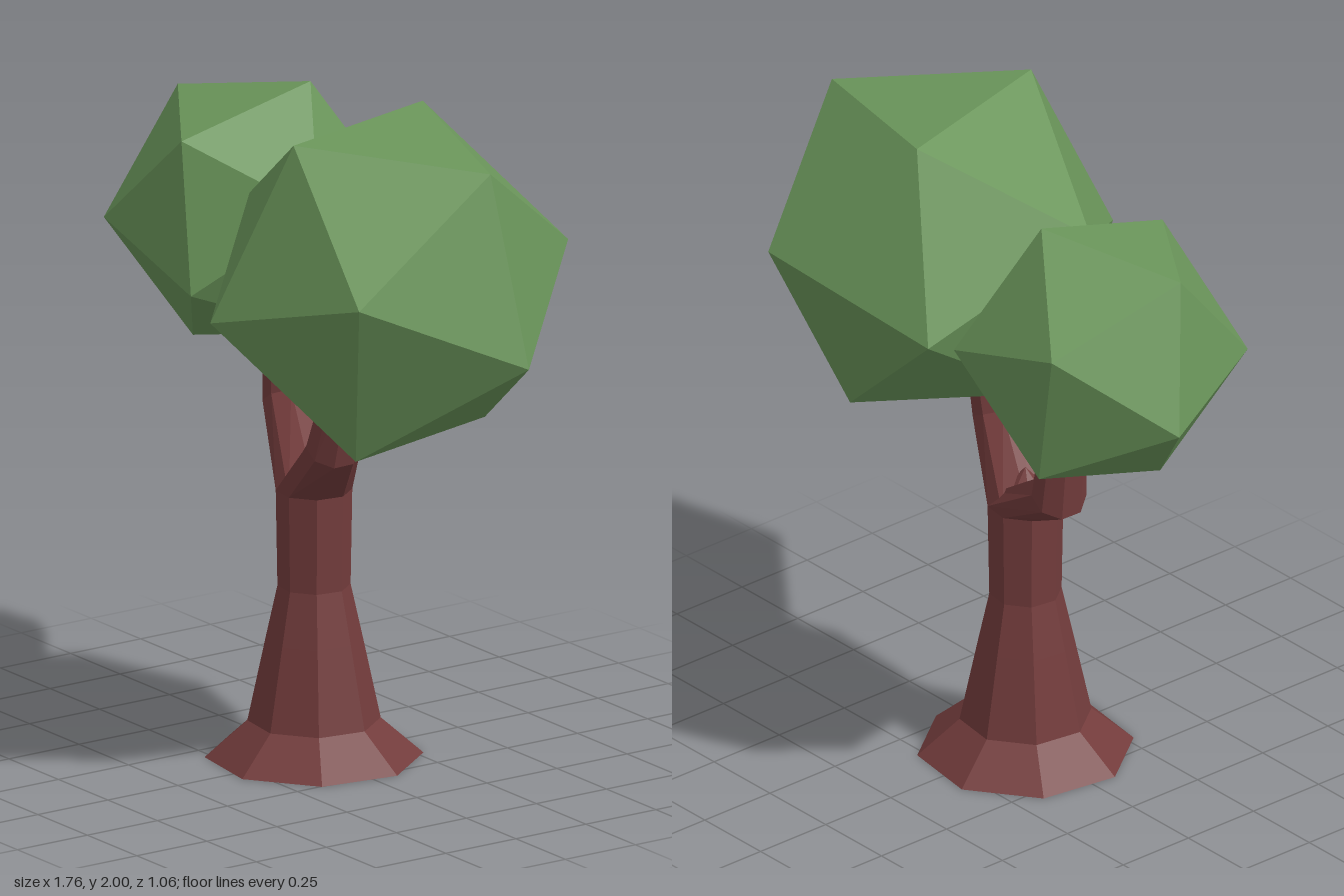
import * as THREE from 'three';

const SIDES = 8;
const TURN = THREE.MathUtils.degToRad(31);
const UP = new THREE.Vector3(0, 1, 0);

const bark = new THREE.MeshStandardMaterial({ color: 0x733c3c, flatShading: true });
const leaf = new THREE.MeshStandardMaterial({ color: 0x6a955a, flatShading: true });

// Skin over octagonal rings given as [centre, radius, normal]
function loft(name, rings) {
  const pos = [], index = [];
  rings.forEach(([c, r, normal = [0, 1, 0]], k) => {
    const q = new THREE.Quaternion().setFromUnitVectors(UP, new THREE.Vector3(...normal).normalize());
    for (let i = 0; i < SIDES; i++) {
      const t = TURN + (i / SIDES) * Math.PI * 2;
      const p = new THREE.Vector3(r * Math.cos(t), 0, r * Math.sin(t)).applyQuaternion(q);
      pos.push(p.x + c[0], p.y + c[1], p.z + c[2]);
      if (k === rings.length - 1) continue;
      const a = k * SIDES + i, b = k * SIDES + (i + 1) % SIDES;
      index.push(a, a + SIDES, b, b, a + SIDES, b + SIDES);
    }
  });
  const indexed = new THREE.BufferGeometry();
  indexed.setAttribute('position', new THREE.Float32BufferAttribute(pos, 3));
  indexed.setIndex(index);
  const geo = indexed.toNonIndexed();
  geo.computeVertexNormals();
  const mesh = new THREE.Mesh(geo, bark);
  mesh.name = name;
  return mesh;
}

// Icosahedron turned so that one of its edges runs between directions u and v
function foliage(name, centre, radius, u, v) {
  const a = new THREE.Vector3(...u).normalize(), b = new THREE.Vector3(...v).normalize();
  const edge = a.clone().sub(b).normalize();
  const mid = a.clone().add(b).normalize();
  const side = edge.clone().cross(mid);
  const mesh = new THREE.Mesh(new THREE.IcosahedronGeometry(radius, 0), leaf);
  mesh.quaternion.setFromRotationMatrix(new THREE.Matrix4().makeBasis(edge, mid, side));
  mesh.position.set(...centre);
  mesh.name = name;
  return mesh;
}

export function createModel() {
  const tree = new THREE.Group();
  tree.name = 'tree';

  // Trunk with flared root, closed below and pointed at the fork
  const profile = [[0, 0], [0.32, 0], [0.195, 0.11], [0.142, 0.36], [0.107, 0.52], [0.112, 0.81], [0, 0.93]];
  tree.add(loft('trunk', profile.map(([r, y]) => [[-0.02, y, 0], r])));

  // Branches grow from the trunk top, bend and end inside the foliage
  const fork = [[-0.02, 0.81, 0], 0.112];
  tree.add(loft('leftBranch', [
    fork,
    [[0.19, 1.0, 0.08], 0.08, [0.45, 0.85, 0.15]],
    [[0.27, 1.25, 0.085], 0.06, [0.25, 1, 0]],
  ]));
  tree.add(loft('rightBranch', [
    fork,
    [[-0.31, 1.0, -0.12], 0.082, [-0.5, 0.85, -0.18]],
    [[-0.34, 1.3, -0.12], 0.063, [-0.1, 1, 0]],
  ]));

  // Leaf crowns
  tree.add(foliage('leftFoliage', [0.36, 1.54, 0], 0.557, [-0.04, 0.46, 0.315], [-0.19, 0.46, -0.255]));
  tree.add(foliage('rightFoliage', [-0.465, 1.54, -0.092], 0.432, [0.12, 0.395, -0.123], [-0.285, 0.32, 0.062]));

  return tree;
}
